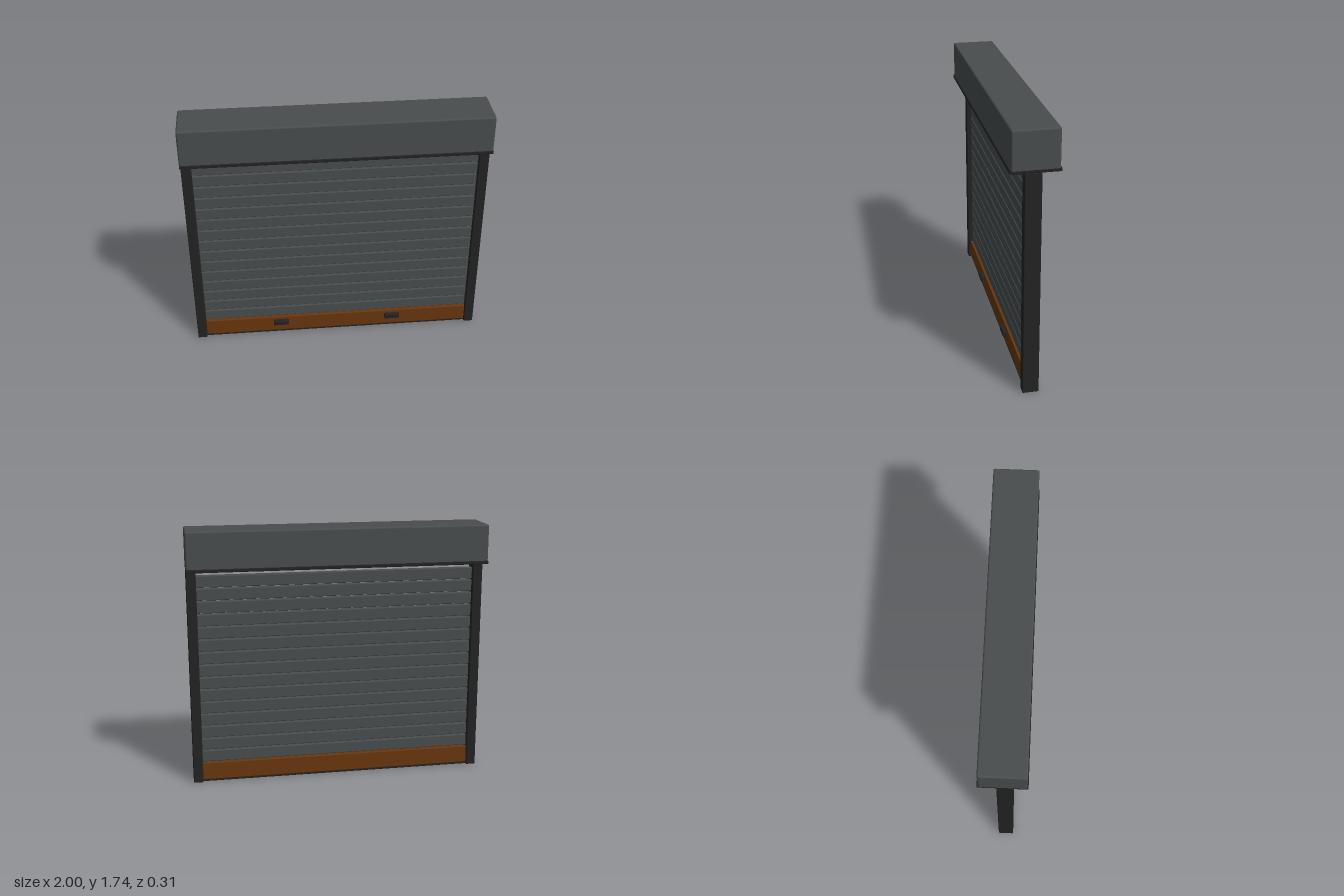
import * as THREE from 'three';
import { RoundedBoxGeometry } from 'three/addons/geometries/RoundedBoxGeometry.js';

const material = (name, color) => {
  const m = new THREE.MeshStandardMaterial({ color });
  m.name = name;
  return m;
};

export function createModel() {
  const grey = material('slateGrey', 0x484d4e);
  const black = material('charcoal', 0x232323);
  const brown = material('brown', 0x68370e);

  const group = new THREE.Group();
  group.name = 'rollerShutter';

  // Softly rounded box given by its lower and upper limits on each axis
  const box = (name, mat, [x0, x1], [y0, y1], [z0, z1], radius) => {
    const geometry = new RoundedBoxGeometry(x1 - x0, y1 - y0, z1 - z0, 2, radius);
    const mesh = new THREE.Mesh(geometry, mat);
    mesh.name = name;
    mesh.position.set((x0 + x1) / 2, (y0 + y1) / 2, (z0 + z1) / 2);
    group.add(mesh);
  };

  const midZ = 0.0145; // middle plane of the curtain and its guides
  const depth = (half) => [midZ - half, midZ + half];
  const span = [-0.937, 0.937];

  // Roller housing and its bottom lip
  box('housing', grey, [-1, 1], [1.48, 1.735], [-0.146, 0.146], 0.012);
  box('housingLip', black, [-1, 1], [1.472, 1.494], [-0.153, 0.153], 0.004);

  // Side guides and lift handles
  for (const [side, s] of [['left', 1], ['right', -1]]) {
    const mirrored = (a, b) => (s > 0 ? [a, b] : [-b, -a]);
    box(side + 'Guide', black, mirrored(0.935, 1), [0, 1.473], depth(0.052), 0.006);
    box(side + 'Handle', black, mirrored(0.347, 0.453), [0.078, 0.112], [0.04, 0.076], 0.004);
  }

  // Curtain slats with narrow open gaps
  const count = 15, bottom = 0.139, pitch = 0.0864;
  for (let i = 0; i < count; i++) {
    const y = bottom + i * pitch;
    box('slat' + (i + 1), grey, span, [y, y + 0.079], depth(0.021), 0.006);
  }

  // Bottom rail and floor seal
  box('bottomRail', brown, span, [0.012, 0.134], depth(0.034), 0.006);
  box('floorSeal', black, span, [0, 0.015], depth(0.032), 0.003);

  return group;
}
